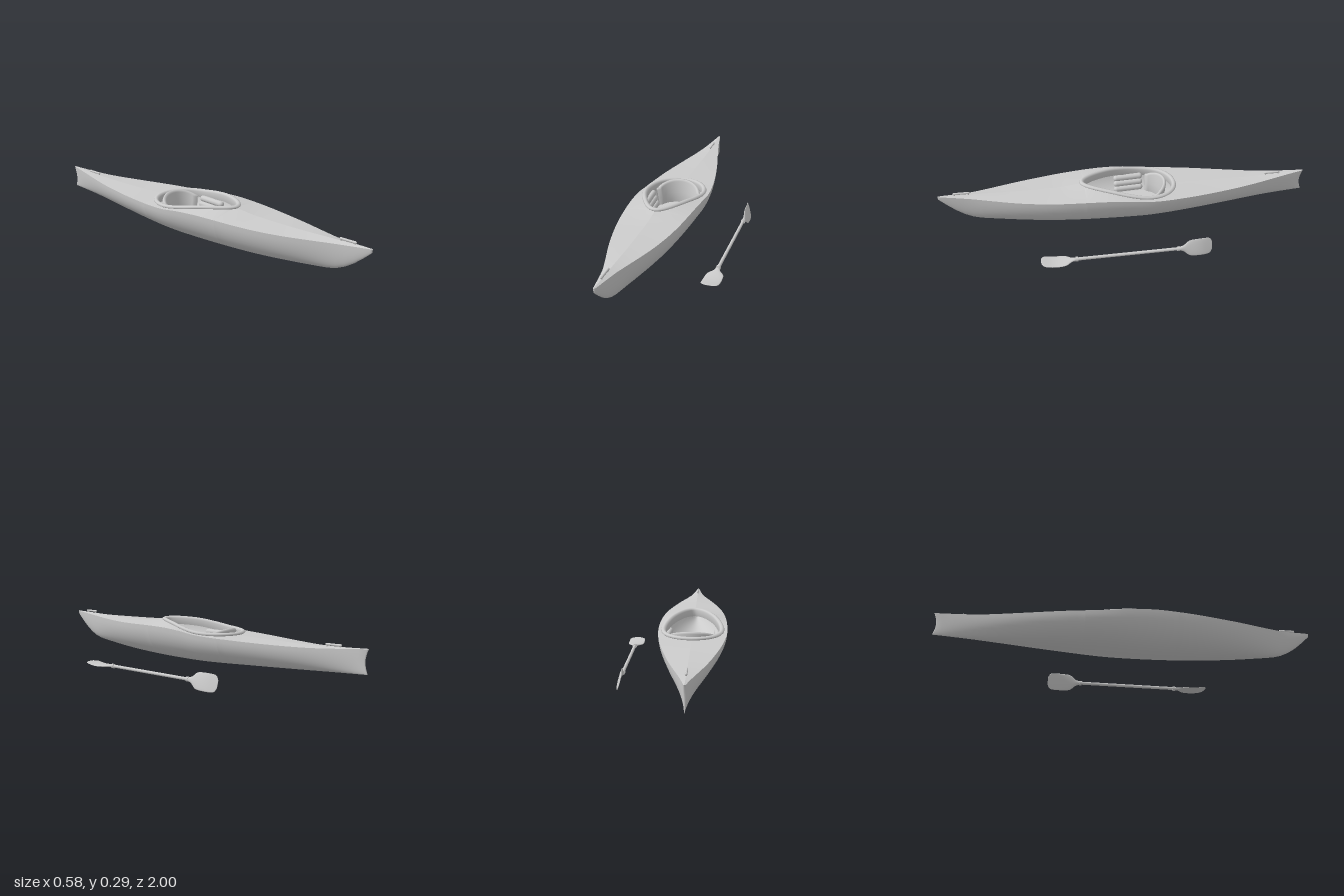
import * as THREE from 'three';
import { mergeVertices } from 'three/addons/utils/BufferGeometryUtils.js';

const solid = new THREE.MeshStandardMaterial({ color: 0xcccccc });
const shell = new THREE.MeshStandardMaterial({ color: 0xcccccc, side: THREE.DoubleSide });

// Smooth curve through [position, value] pairs
function curve(pts) {
  const slope = (i) => {
    const a = pts[Math.max(i - 1, 0)], b = pts[Math.min(i + 1, pts.length - 1)];
    return (b[1] - a[1]) / (b[0] - a[0]);
  };
  return (z) => {
    let i = 0;
    while (i < pts.length - 2 && z > pts[i + 1][0]) i++;
    const [x0, y0] = pts[i], [x1, y1] = pts[i + 1];
    const d = x1 - x0, t = THREE.MathUtils.clamp((z - x0) / d, 0, 1);
    const t2 = t * t, t3 = t2 * t;
    return y0 * (2 * t3 - 3 * t2 + 1) + y1 * (3 * t2 - 2 * t3)
      + d * (slope(i) * (t3 - 2 * t2 + t) + slope(i + 1) * (t3 - t2));
  };
}

// Surface from a rule: fn(i, j) gives the point of row i, column j
function surface(rows, cols, fn) {
  const pos = [], idx = [];
  for (let i = 0; i <= rows; i++) for (let j = 0; j <= cols; j++) pos.push(...fn(i, j));
  for (let i = 0; i < rows; i++) for (let j = 0; j < cols; j++) {
    const a = i * (cols + 1) + j, b = a + cols + 1;
    idx.push(a, b, a + 1, b, b + 1, a + 1);
  }
  let g = new THREE.BufferGeometry();
  g.setAttribute('position', new THREE.Float32BufferAttribute(pos, 3));
  g.setIndex(idx);
  g = mergeVertices(g, 1e-5);
  g.computeVertexNormals();
  return g;
}

function add(parent, name, geometry, material = solid, x = 0, y = 0, z = 0) {
  const m = new THREE.Mesh(geometry, material);
  m.name = name;
  m.position.set(x, y, z);
  parent.add(m);
  return m;
}

// Hull lines along z
const halfWidth = curve([[-1, 0], [-0.995, 0.006], [-0.95, 0.013], [-0.8, 0.045], [-0.55, 0.107], [-0.3, 0.157],
  [-0.06, 0.181], [0.3, 0.16], [0.55, 0.115], [0.82, 0.036], [0.9, 0.02], [0.99, 0.005], [1, 0]]);
const keel = curve([[-1, 0.118], [-0.4, 0.088], [0, 0.073], [0.4, 0.083], [0.75, 0.113], [0.84, 0.133],
  [0.92, 0.182], [1, 0.255]]);
const sheer = curve([[-1, 0.238], [-0.7, 0.222], [-0.25, 0.231], [-0.1, 0.239], [0, 0.252], [0.15, 0.26],
  [0.5, 0.255], [0.8, 0.26], [1, 0.272]]);
const ridge = curve([[-1, 0.24], [-0.7, 0.227], [-0.25, 0.234], [-0.1, 0.24], [0, 0.256], [0.1, 0.272],
  [0.235, 0.279], [0.35, 0.267], [0.6, 0.264], [0.85, 0.27], [1, 0.274]]);

// Egg-shaped cockpit outline; angle 0 is the rear end
const cockpitZ = (a) => -0.005 - 0.24 * Math.cos(a);
const cockpitX = (a) => Math.sin(a) * (0.132 + 0.052 * Math.cos(a));

// Stations: evenly spaced on the decks, bunched at the cockpit ends
const stations = [{ z: -1, h: 0 }, { z: -0.995, h: 0 }];
for (let i = 1; i < 18; i++) stations.push({ z: -1 + i * 0.755 / 18, h: 0 });
for (let i = 0; i <= 28; i++) stations.push({ z: cockpitZ(i * Math.PI / 28), h: Math.abs(cockpitX(i * Math.PI / 28)) });
for (let i = 1; i < 18; i++) stations.push({ z: 0.235 + i * 0.765 / 18, h: 0 });
stations.push({ z: 0.99, h: 0 }, { z: 1, h: 0 });

function buildKayak() {
  const kayak = new THREE.Group();
  kayak.name = 'kayak';
  const last = stations.length - 1;

  // Hull with a shallow hollow in the stern edge
  add(kayak, 'hull', surface(last, 24, (i, j) => {
    const { z } = stations[i], a = j * Math.PI / 24, s = Math.sin(a);
    const notch = z < -0.94 ? 0.014 * Math.sin(Math.PI * s) * (-0.94 - z) / 0.06 : 0;
    return [halfWidth(z) * Math.cos(a), sheer(z) - (sheer(z) - keel(z)) * s, z + notch];
  }), shell);

  // Deck halves meeting at the ridge or at the cockpit edge
  for (const side of [-1, 1]) {
    add(kayak, side > 0 ? 'leftDeck' : 'rightDeck', surface(last, 5, (i, j) => {
      const { z, h } = stations[i], u = side > 0 ? j / 5 : 1 - j / 5;
      const x = THREE.MathUtils.lerp(h, Math.max(halfWidth(z), h), u);
      return [side * x, THREE.MathUtils.lerp(ridge(z), sheer(z), u), z];
    }), shell);
  }

  // Cockpit rim: upright wall with an outward lip, swept around the opening
  const lip = [[0, -0.03], [-0.002, 0.004], [0.003, 0.013], [0.012, 0.016], [0.021, 0.012],
    [0.024, 0.005], [0.019, 0], [0.009, -0.002], [0.007, -0.03], [0, -0.03]];
  add(kayak, 'cockpitRim', surface(56, lip.length - 1, (i, j) => {
    const a = i * Math.PI / 28, e = 0.01;
    const at = (t) => {
      const k = t % (2 * Math.PI);
      return k > Math.PI ? [-cockpitX(2 * Math.PI - k), cockpitZ(k)] : [cockpitX(k), cockpitZ(k)];
    };
    const p = at(a), q = at(a + e), r = at(a - e + 2 * Math.PI);
    const dx = q[0] - r[0], dz = q[1] - r[1], len = Math.hypot(dx, dz);
    const [o, dy] = lip[j];
    return [p[0] + o * dz / len, ridge(p[1]) + dy, p[1] - o * dx / len];
  }), shell);

  // Wrap-around backrest, leaning back
  const back = [[0, 0], [0, 0.5], [0, 0.93], [0.3, 1], [0.7, 1], [1, 0.93], [1, 0.5], [1, 0], [0, 0]];
  add(kayak, 'backrest', surface(24, back.length - 1, (i, j) => {
    const t = i / 12 - 1, a = t * 1.4, [o, v] = back[j];
    const end = Math.abs(t) > 0.99 ? 0.3 : 1;
    const r = 1 - 0.17 * o * end, lean = 0.84 + 0.16 * v;
    const top = 0.263 - 0.04 * t * t;
    return [0.13 * r * lean * Math.sin(a), THREE.MathUtils.lerp(0.115, top, v),
      -0.1 - 0.115 * r * lean * Math.cos(a)];
  }), shell);

  // Seat pan with rounded corners
  const pan = new THREE.Shape();
  pan.moveTo(-0.1, -0.02);
  pan.quadraticCurveTo(0, -0.032, 0.1, -0.02);
  pan.lineTo(0.105, 0.1);
  pan.quadraticCurveTo(0.09, 0.185, 0, 0.195);
  pan.quadraticCurveTo(-0.09, 0.185, -0.105, 0.1);
  const panGeo = new THREE.ExtrudeGeometry(pan, { depth: 0.016, bevelEnabled: false, curveSegments: 8 });
  add(kayak, 'seatPan', panGeo.rotateX(-Math.PI / 2), solid, 0, 0.116, 0);

  // Ribbed side pads
  for (const side of [-1, 1]) for (let k = 0; k < 3; k++) {
    const rib = new THREE.CapsuleGeometry(0.017, 0.13, 4, 10).rotateX(Math.PI / 2);
    add(kayak, 'sidePad', rib, solid, side * (0.112 + 0.009 * k), 0.15 + 0.03 * k, -0.025).rotation.y = side * -0.06;
  }

  // Carry handles at bow and stern, each on two studs
  for (const z of [0.878, -0.82]) {
    const grip = new THREE.CapsuleGeometry(0.006, 0.075, 4, 10).rotateX(Math.PI / 2);
    add(kayak, 'carryHandle', grip, solid, 0, ridge(z) + 0.009, z);
    for (const d of [-0.036, 0.036]) {
      add(kayak, 'handleStud', new THREE.CylinderGeometry(0.004, 0.004, 0.016, 8), solid, 0, ridge(z + d) + 0.006, z + d);
    }
  }
  return kayak;
}

function buildPaddle() {
  const paddle = new THREE.Group();
  paddle.name = 'paddle';
  add(paddle, 'shaft', new THREE.CylinderGeometry(0.0085, 0.0085, 0.56, 12).rotateX(Math.PI / 2));

  // Spoon blade: thin oval sections that widen, then curl up at the tip
  const width = curve([[0, 0.009], [0.15, 0.017], [0.3, 0.039], [0.45, 0.045], [0.85, 0.045], [0.95, 0.038], [1, 0.02]]);
  const thick = curve([[0, 0.009], [0.3, 0.005], [1, 0.0015]]);
  const bend = curve([[0, 0], [0.45, -0.005], [0.7, -0.003], [1, 0.007]]);
  const blade = surface(22, 16, (i, j) => {
    const closed = i === 0 || i === 22 ? 0 : 1;
    const t = THREE.MathUtils.clamp((i - 1) / 20, 0, 1), a = -j * Math.PI / 8;
    const w = width(t);
    return [closed * w * Math.cos(a), bend(t) + closed * thick(t) * Math.sin(a), 0.265 + 0.183 * t];
  });
  for (const end of [0, 1]) {
    const half = new THREE.Group();
    half.name = end ? 'rearBlade' : 'frontBlade';
    add(half, 'blade', blade, shell);
    add(half, 'collar', new THREE.CylinderGeometry(0.0125, 0.0125, 0.014, 12).rotateX(Math.PI / 2), solid, 0, 0, 0.266);
    // The rear blade is feathered
    half.rotation.set(0, end * Math.PI, end * THREE.MathUtils.degToRad(106), 'ZYX');
    paddle.add(half);
  }
  paddle.position.set(0.243, 0.048, 0.05);
  return paddle;
}

export function createModel() {
  const model = new THREE.Group();
  model.name = 'kayakWithPaddle';
  const kayak = buildKayak();
  kayak.position.x = -0.11;
  model.add(kayak, buildPaddle());
  return model;
}
